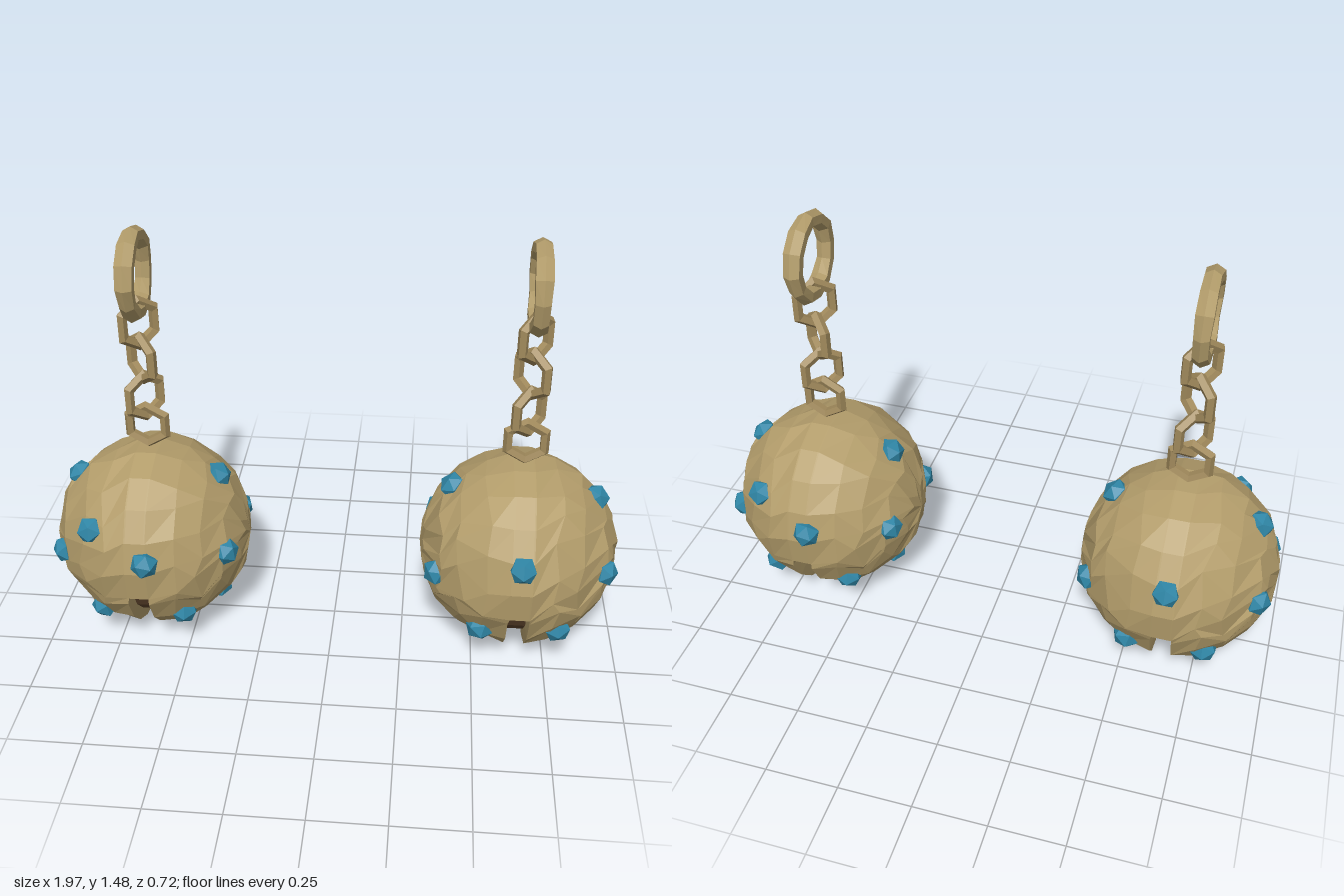
import * as THREE from 'three';

const RAD = Math.PI / 180;
const BALL_R = 0.345;
const mat = (color) => new THREE.MeshStandardMaterial({ color, flatShading: true, roughness: 0.8 });
const brass = mat(0xb39d6b);
const chainBrass = mat(0xa18a5c);
const dark = mat(0x5c432b);
const blue = mat(0x2f86a6);

// Repeatable value in -1..1 for the hammered unevenness
const hash = (a, b) => {
  const s = Math.sin(a * 127.1 + b * 311.7) * 43758.5453;
  return 2 * (s - Math.floor(s)) - 1;
};

function addMesh(parent, name, geometry, material) {
  const mesh = new THREE.Mesh(geometry, material);
  mesh.name = name;
  parent.add(mesh);
  return mesh;
}

// Hammered ball with its poles on x, and a groove around its underside
function addBall(parent) {
  const half = [0, 18, 36, 54, 70].map((a) => -Math.cos(a * RAD)).concat(-0.036 / BALL_R, -0.031 / BALL_R);
  const rows = [...half, ...half.map((x) => -x).reverse()];
  const mid = half.length - 1;

  // Columns run from the front of the groove, under the ball, up the back and over the top
  const cols = [-14];
  for (let k = 0; k <= 8; k++) cols.push(-18 - 18 * k);
  for (let k = 0; k < 11; k++) cols.push(-166 - (208 / 11) * k);
  const n = cols.length;
  const inGroove = (j) => j >= 1 && j <= 9;

  const positions = [];
  rows.forEach((x, i) => {
    const pole = i === 0 || i === rows.length - 1;
    const nearGroove = Math.abs(x) < 0.2;
    cols.forEach((deg, j) => {
      const wobble = pole ? 0 : hash(nearGroove ? 50 : i, j);
      let phi = deg * RAD;
      let u = x;
      if (!pole && !nearGroove) {
        phi += ((i % 2) * 9 + 5 * hash(j, i + 9)) * RAD;
        u = THREE.MathUtils.clamp(x + 0.05 * hash(i + 3, j + 20), -0.985, 0.985);
      }
      const deep = (i === mid || i === mid + 1) && inGroove(j);
      const r = deep ? 0.295 : BALL_R - 0.003 + 0.006 * wobble;
      const rho = Math.sqrt(Math.max(0, 1 - u * u)) * r;
      positions.push(nearGroove ? u * BALL_R : u * r, rho * Math.sin(phi), rho * Math.cos(phi));
    });
  });

  const shell = [], floor = [];
  for (let i = 0; i < rows.length - 1; i++) {
    for (let j = 0; j < n; j++) {
      const k = (j + 1) % n;
      const a = i * n + j, b = a + n, c = i * n + k, d = c + n;
      const target = i === mid && inGroove(j) && inGroove(k) ? floor : shell;
      if (i > 0) target.push(a, c, b);
      if (i < rows.length - 2) target.push(c, d, b);
    }
  }
  const build = (index) => {
    const g = new THREE.BufferGeometry();
    g.setAttribute('position', new THREE.Float32BufferAttribute(positions, 3));
    g.setIndex(index);
    const flat = g.toNonIndexed();
    flat.computeVertexNormals();
    return flat;
  };
  addMesh(parent, 'ballShell', build(shell), brass);
  addMesh(parent, 'grooveFloor', build(floor), dark);
}

// Directions of the gems from the ball's centre
const GEMS = [
  [0, 0.12, 0.33], [0.30, 0.02, 0.17], [-0.29, -0.01, 0.18],
  [0.145, -0.175, 0.26], [-0.13, -0.185, 0.26],
  [0.265, 0.22, 0], [-0.255, 0.25, 0], [0.225, -0.265, 0.02], [-0.235, -0.265, 0],
  [-0.035, 0.07, -0.345], [0.175, 0.155, -0.27], [0.32, -0.01, -0.17],
  [-0.295, 0.03, -0.18], [0.165, -0.215, -0.22], [-0.145, -0.205, -0.25],
];

function addGems(parent) {
  const geometry = new THREE.IcosahedronGeometry(0.049, 0);
  const out = new THREE.Vector3(0, 0, 1);
  GEMS.forEach((p, i) => {
    const dir = new THREE.Vector3(...p).normalize();
    const gem = addMesh(parent, 'gem', geometry, blue);
    gem.position.copy(dir).multiplyScalar(0.334);
    gem.quaternion.setFromUnitVectors(out, dir);
    gem.rotateZ(i * 1.3);
    gem.scale.set(1, 1, 0.85);
  });
}

// Six-sided chain links, pointed at top and bottom: [centre y, turn, height factor]
const LINKS = [[1.148, 45, 1.12], [1.02, -45, 1.1], [0.88, 45, 1.1], [0.768, 0, 1]];

function addChain(parent) {
  const link = new THREE.TorusGeometry(0.07, 0.019, 5, 6).rotateZ(Math.PI / 6);
  LINKS.forEach(([y, turn, tall]) => {
    const m = addMesh(parent, 'chainLink', link, chainBrass);
    m.position.y = y;
    m.rotation.y = turn * RAD;
    m.scale.y = tall;
  });

  // Large hanging ring, a little uneven
  const ring = new THREE.TorusGeometry(0.128, 0.03, 6, 12).rotateY(Math.PI / 2);
  const pos = ring.attributes.position;
  for (let i = 0; i < pos.count; i++) {
    const a = Math.round((Math.atan2(pos.getY(i), pos.getZ(i)) / RAD + 360) / 30) % 12;
    const s = 1 + 0.02 * hash(a, 4);
    pos.setXYZ(i, pos.getX(i) * (1 + 0.12 * hash(a, 7)), pos.getY(i) * s, pos.getZ(i) * s);
  }
  addMesh(parent, 'hangingRing', ring, brass).position.y = 1.322;
}

function makePendant(name) {
  const pendant = new THREE.Group();
  pendant.name = name;
  const ball = new THREE.Group();
  ball.name = 'ball';
  ball.position.y = BALL_R;
  addBall(ball);
  addGems(ball);
  pendant.add(ball);
  addChain(pendant);
  return pendant;
}

export function createModel() {
  const model = new THREE.Group();
  model.name = 'pendantPair';
  const left = makePendant('leftPendant');
  left.position.x = 0.645;
  // The right pendant is the same piece turned half a turn
  const right = makePendant('rightPendant');
  right.position.x = -0.645;
  right.rotation.y = Math.PI;
  model.add(left, right);
  return model;
}
